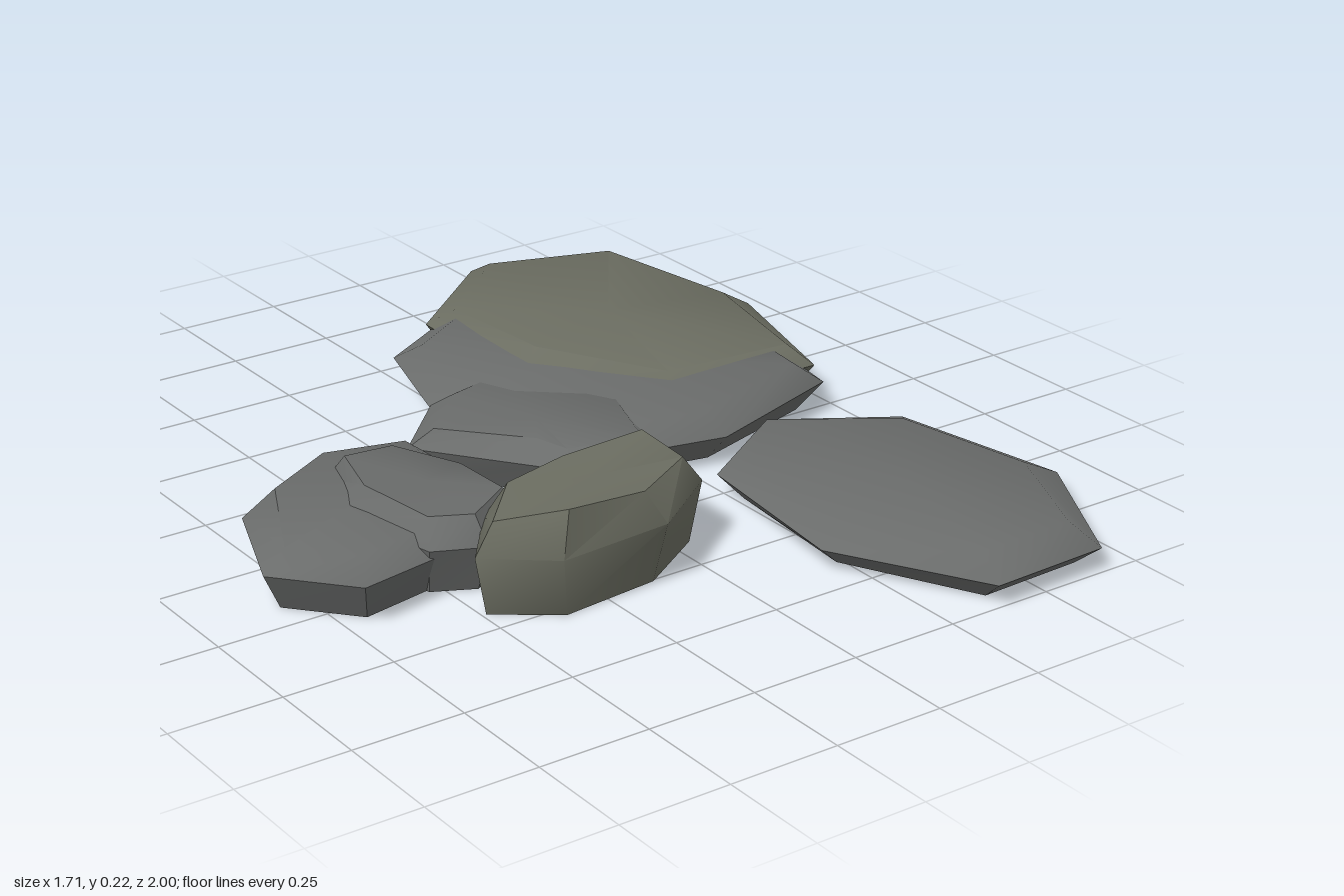
import * as THREE from 'three';
import { toCreasedNormals } from 'three/addons/utils/BufferGeometryUtils.js';

const grey = new THREE.MeshStandardMaterial({ color: 0x6a6c6b, side: THREE.DoubleSide });
const moss = new THREE.MeshStandardMaterial({ color: 0x6b6d61, side: THREE.DoubleSide });

// Flat stone from an outline [x, z, capHeight], clockwise seen from above.
// Three rings: inset foot, widest rim, inset cap; the underside is open.
function stone(name, material, outline, { rim, foot, bevel }) {
  const n = outline.length;
  const mean = k => outline.reduce((s, p) => s + p[k], 0) / n;
  const cx = mean(0), cz = mean(1);
  const ring = (inset, height) => outline.map(([x, z, top]) => {
    const k = 1 - inset / Math.hypot(x - cx, z - cz);
    return [cx + (x - cx) * k, height ?? top, cz + (z - cz) * k];
  });
  const rings = [ring(foot, 0), ring(0, rim), ring(bevel)];
  const centre = [cx, mean(2), cz];

  const positions = [];
  const tri = (...corners) => corners.forEach(c => positions.push(...c));
  for (let i = 0; i < n; i++) {
    const j = (i + 1) % n;
    for (let r = 0; r < 2; r++) {
      const lo = rings[r], hi = rings[r + 1];
      tri(lo[i], hi[i], lo[j]);
      tri(lo[j], hi[i], hi[j]);
    }
    tri(centre, rings[2][j], rings[2][i]);
  }
  const geometry = new THREE.BufferGeometry();
  geometry.setAttribute('position', new THREE.Float32BufferAttribute(positions, 3));
  const mesh = new THREE.Mesh(toCreasedNormals(geometry, 0.75), material);
  mesh.name = name;
  return mesh;
}

export function createModel() {
  const group = new THREE.Group();
  group.name = 'flatStones';
  group.add(
    // Overlapping cluster at the back
    stone('largeSlab', moss, [
      [0.42, -1.0, 0.12], [0.73, -0.85, 0.14], [0.85, -0.44, 0.12], [0.74, -0.05, 0.12],
      [0.36, -0.06, 0.125], [0.13, -0.36, 0.14], [0.14, -0.77, 0.12],
    ], { rim: 0.08, foot: 0.06, bevel: 0.07 }),
    stone('underSlab', grey, [
      [0.22, -0.8, 0.11], [0.6, -0.6, 0.1], [0.73, -0.1, 0.115], [0.71, 0.02, 0.115],
      [0.34, 0.14, 0.11], [-0.04, 0.06, 0.11], [-0.11, -0.36, 0.115], [-0.02, -0.66, 0.11],
    ], { rim: 0.07, foot: 0.06, bevel: 0.07 }),
    stone('middleStone', grey, [
      [-0.11, -0.36, 0.12], [0.1, -0.42, 0.11], [0.27, -0.1, 0.11], [0.15, 0.18, 0.12],
      [-0.06, 0.14, 0.12], [-0.1, 0.05, 0.12], [-0.28, -0.19, 0.12],
    ], { rim: 0.08, foot: 0.05, bevel: 0.06 }),
    // Low slab at the front
    stone('frontSlab', grey, [
      [0.5, 0.08, 0.08], [0.76, 0.24, 0.08], [0.84, 0.66, 0.085], [0.66, 0.99, 0.09],
      [0.37, 1.0, 0.09], [0.18, 0.67, 0.085], [0.23, 0.25, 0.08],
    ], { rim: 0.05, foot: 0.06, bevel: 0.08 }),
    // Pile at the side
    stone('tallStone', moss, [
      [-0.52, 0.44, 0.2], [-0.4, 0.29, 0.21], [-0.18, 0.22, 0.21], [0.05, 0.26, 0.225],
      [0.075, 0.4, 0.2], [-0.11, 0.53, 0.2], [-0.38, 0.55, 0.225],
    ], { rim: 0.135, foot: 0.03, bevel: 0.05 }),
    stone('sideStone', grey, [
      [-0.86, 0.19, 0.125], [-0.76, -0.07, 0.155], [-0.51, -0.22, 0.145], [-0.28, -0.16, 0.14],
      [-0.26, 0.06, 0.13], [-0.32, 0.28, 0.13], [-0.72, 0.35, 0.13],
    ], { rim: 0.09, foot: 0.05, bevel: 0.07 }),
    stone('smallStone', grey, [
      [-0.61, 0.08, 0.175], [-0.54, -0.1, 0.175], [-0.38, -0.12, 0.16], [-0.27, 0.06, 0.155],
      [-0.28, 0.27, 0.16], [-0.44, 0.37, 0.165], [-0.55, 0.32, 0.165],
    ], { rim: 0.11, foot: 0.04, bevel: 0.05 }),
  );
  return group;
}
